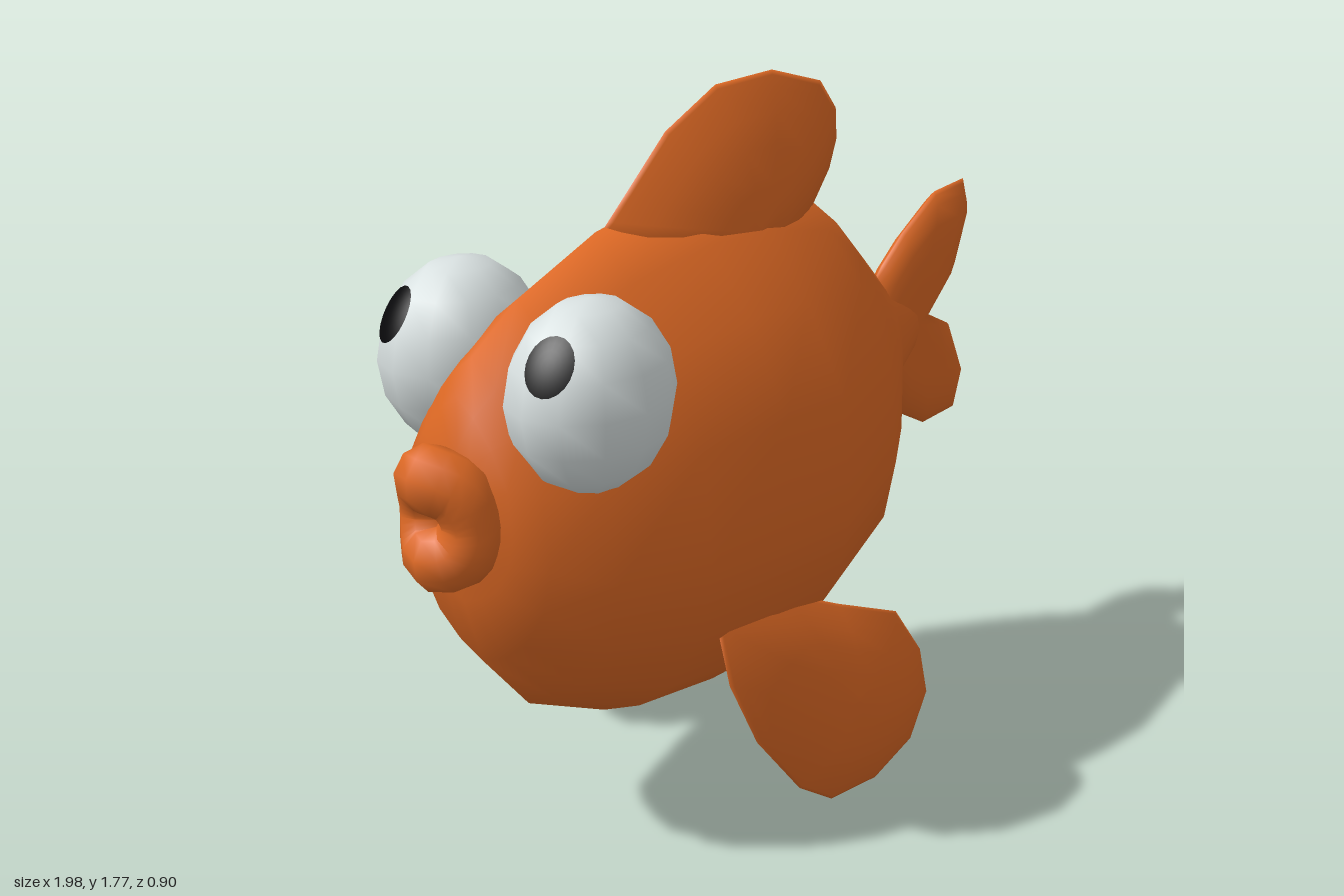
import * as THREE from 'three';

const orange = new THREE.MeshStandardMaterial({ color: 0xdc6824 });
orange.name = 'orange skin';
const white = new THREE.MeshStandardMaterial({ color: 0xd8e0e0 });
white.name = 'eye white';
const black = new THREE.MeshStandardMaterial({ color: 0x08080a });
black.name = 'pupil black';

// Smooth closed skin through rings of equal point count, capped at both ends.
function loft(rings) {
  const n = rings[0].length, pos = [], idx = [];
  rings.forEach(r => r.forEach(p => pos.push(...p)));
  for (let i = 0; i < rings.length - 1; i++) {
    for (let j = 0; j < n; j++) {
      const k = (j + 1) % n, a = i * n + j, b = a + n, c = (i + 1) * n + k, d = i * n + k;
      idx.push(a, b, c, a, c, d);
    }
  }
  const last = rings.length - 1;
  for (const i of [0, last]) {
    const centre = pos.length / 3;
    pos.push(...[0, 1, 2].map(c => rings[i].reduce((s, p) => s + p[c], 0) / n));
    for (let j = 0; j < n; j++) {
      const a = i * n + j, b = i * n + (j + 1) % n;
      if (i === 0) idx.push(centre, a, b);
      else idx.push(centre, b, a);
    }
  }
  const g = new THREE.BufferGeometry();
  g.setAttribute('position', new THREE.Float32BufferAttribute(pos, 3));
  g.setIndex(idx);
  g.computeVertexNormals();
  return g;
}

// Padded fin: outline shrunk towards a centre while its thickness grows.
function fin(outline, [cx, cy], depth, power, midZ = () => 0) {
  const pts = outline.map(p => new THREE.Vector2(...p));
  if (THREE.ShapeUtils.area(pts) < 0) pts.reverse();
  const steps = [0.005, 0.3, 0.55, 0.75, 0.9, 0.97];
  const ring = (s, side) => pts.map(p => {
    const x = cx + s * (p.x - cx), y = cy + s * (p.y - cy);
    return [x, y, midZ(y) + side * depth * (1 - s ** power)];
  });
  return loft([
    ...steps.map(s => ring(s, 1)),
    ring(1, 0),
    ...steps.slice().reverse().map(s => ring(s, -1)),
  ]);
}

export function createModel() {
  const model = new THREE.Group();
  model.name = 'fish';
  const add = (name, geometry, material) => {
    const mesh = new THREE.Mesh(geometry, material);
    mesh.name = name;
    model.add(mesh);
    return mesh;
  };

  // Body: egg-shaped sections, each with x, bottom, top, half width
  const half = [[0, 0], [0.33, 0.045], [0.62, 0.115], [0.9, 0.25], [1, 0.4], [0.93, 0.63], [0.64, 0.8], [0.32, 0.92], [0, 1]];
  const section = [...half, ...half.slice(1, -1).reverse().map(([z, y]) => [-z, y])];
  const stations = [
    [-0.885, 0.96, 1.03, 0.03], [-0.87, 0.85, 1.13, 0.1], [-0.84, 0.72, 1.22, 0.17],
    [-0.79, 0.55, 1.3, 0.235], [-0.65, 0.385, 1.4, 0.31], [-0.4, 0.27, 1.5, 0.365],
    [-0.15, 0.25, 1.54, 0.395], [0.05, 0.26, 1.53, 0.4], [0.3, 0.39, 1.45, 0.335],
    [0.45, 0.5, 1.33, 0.23], [0.55, 0.61, 1.22, 0.15], [0.63, 0.82, 1.13, 0.085],
    [0.73, 0.88, 1.1, 0.05], [0.8, 0.97, 1.03, 0.03],
  ];
  add('body', loft(stations.map(([x, lo, hi, w]) =>
    section.map(([z, y]) => [x, lo + y * (hi - lo), z * w]))), orange);

  // Dorsal fin
  add('dorsalFin', fin([
    [-0.42, 1.46], [-0.36, 1.515], [-0.3, 1.57], [-0.17, 1.69], [0, 1.77], [0.2, 1.77], [0.38, 1.71],
    [0.44, 1.63], [0.445, 1.55], [0.42, 1.48], [0.36, 1.4], [0.25, 1.3], [-0.25, 1.3],
  ], [0.03, 1.43], 0.125, 2), orange);

  // Forked tail
  add('tailFin', fin([
    [0.6, 1.12], [0.64, 1.17], [0.72, 1.24], [0.85, 1.325], [0.97, 1.335], [0.99, 1.27], [0.94, 1.13],
    [0.81, 1], [0.92, 0.94], [0.99, 0.78], [0.96, 0.685], [0.83, 0.675], [0.73, 0.73], [0.63, 0.83], [0.6, 0.9],
  ], [0.71, 1], 0.045, 7), orange);

  // Pectoral fins, leaning outwards towards the bottom
  const pectoral = [
    [-0.33, 0.58], [-0.31, 0.42], [-0.24, 0.25], [-0.11, 0.08], [0, 0.008], [0.17, 0], [0.32, 0.05],
    [0.4, 0.15], [0.39, 0.27], [0.31, 0.4], [0.1, 0.49], [-0.1, 0.585], [-0.22, 0.62],
  ];
  for (const [name, side] of [['leftSide', 1], ['rightSide', -1]]) {
    add(name + 'PectoralFin', fin(pectoral, [0.05, 0.28], 0.085, 2.5, y => side * (0.4 - 0.15 * y)), orange);

    // Bulging eye
    const eye = add(name + 'Eye', new THREE.SphereGeometry(1, 12, 8), white);
    eye.position.set(-0.63, 1.222, side * 0.212);
    eye.scale.set(0.212, 0.228, 0.177);

    // Pupil: thin cap lying on the eye
    const cap = new THREE.SphereGeometry(1, 20, 4, 0, Math.PI * 2, 0, 0.32);
    const look = new THREE.Vector3(-0.72, 0.49, side * 0.22).normalize();
    cap.applyQuaternion(new THREE.Quaternion().setFromUnitVectors(new THREE.Vector3(0, 1, 0), look));
    const pupil = add(name + 'Pupil', cap, black);
    pupil.position.copy(eye.position);
    pupil.scale.copy(eye.scale).multiplyScalar(1.005);
  }

  // Pouting lips: one closed ring swept back at the corners
  const lipPath = new THREE.CatmullRomCurve3([
    [-0.918, 1.045, 0], [-0.885, 1.02, 0.05], [-0.86, 0.945, 0.068], [-0.88, 0.87, 0.045],
    [-0.905, 0.85, 0], [-0.88, 0.87, -0.045], [-0.86, 0.945, -0.068], [-0.885, 1.02, -0.05],
  ].map(p => new THREE.Vector3(...p)), true);
  add('lips', new THREE.TubeGeometry(lipPath, 24, 0.08, 10, true), orange);

  return model;
}
